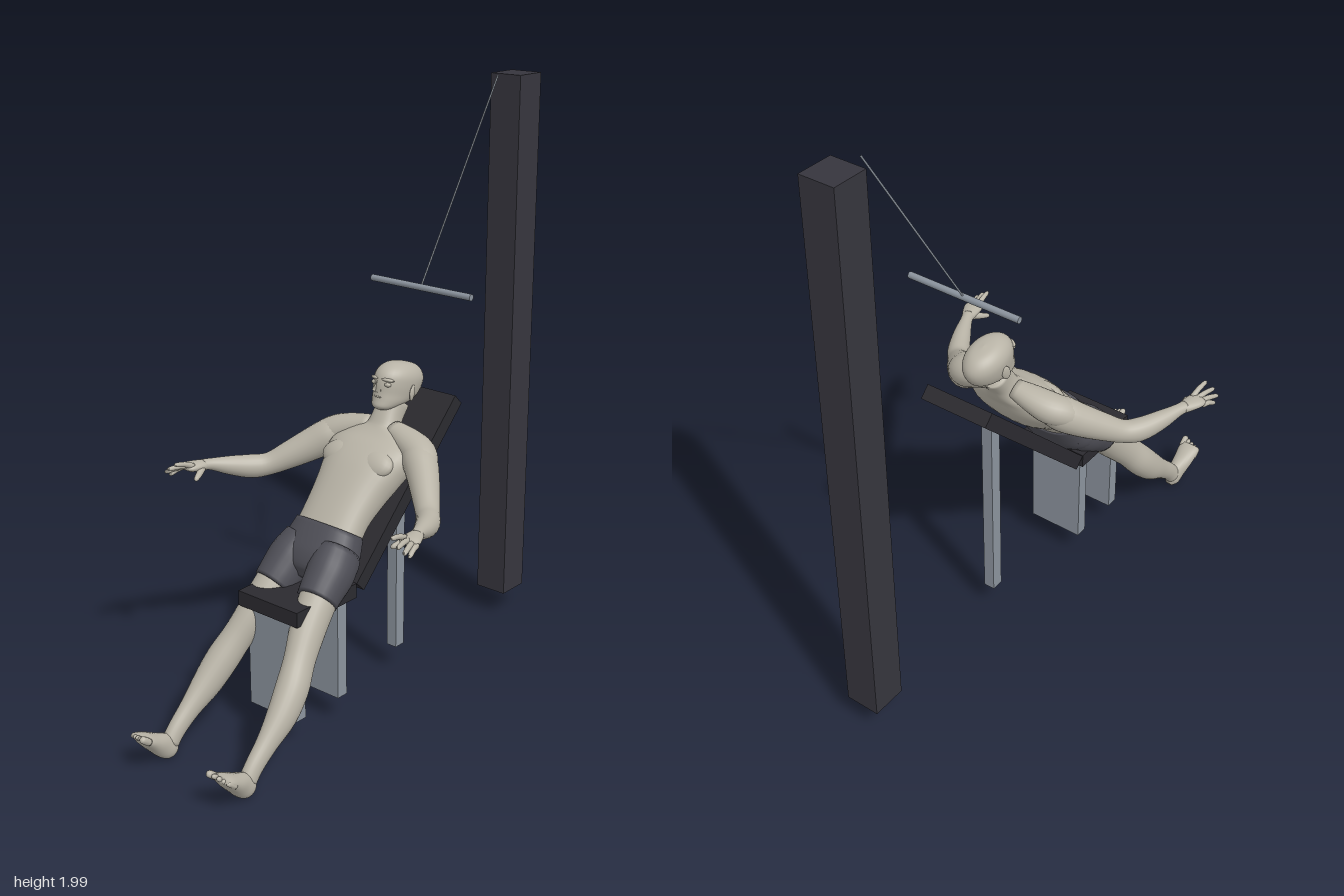
import * as THREE from 'three';

const V = (x, y, z) => new THREE.Vector3(x, y, z);
const X = V(1, 0, 0), Y = V(0, 1, 0);

// Smooth skin over sections [x, y, z, radius along ref, radius across]
function loft(rows, { ref = X, axis = null, steps = 4, sides = 24, power = 2 } = {}) {
  const path = new THREE.CatmullRomCurve3(rows.map(r => V(r[0], r[1], r[2])), false, 'catmullrom', 0.5);
  const size = new THREE.CatmullRomCurve3(rows.map(r => V(r[3], r[4] ?? r[3], 0)), false, 'catmullrom', 0.5);
  const n = (rows.length - 1) * steps, pos = [], idx = [];
  const bulge = c => Math.sign(c) * Math.abs(c) ** (2 / power);
  for (let i = 0; i <= n; i++) {
    const p = path.getPoint(i / n), r = size.getPoint(i / n);
    const t = axis ? axis.clone() : path.getTangent(i / n);
    const s = ref.clone().addScaledVector(t, -ref.dot(t)).normalize();
    const d = t.clone().cross(s);
    for (let j = 0; j < sides; j++) {
      const a = j / sides * Math.PI * 2;
      const q = p.clone().addScaledVector(s, bulge(Math.cos(a)) * r.x).addScaledVector(d, bulge(Math.sin(a)) * r.y);
      pos.push(q.x, q.y, q.z);
    }
  }
  for (let i = 0; i < n; i++) for (let j = 0; j < sides; j++) {
    const k = (j + 1) % sides, a = i * sides + j, b = i * sides + k;
    idx.push(a, b, a + sides, b, b + sides, a + sides);
  }
  const c0 = pos.length / 3, first = path.getPoint(0), last = path.getPoint(1);
  pos.push(first.x, first.y, first.z, last.x, last.y, last.z);
  for (let j = 0; j < sides; j++) {
    const k = (j + 1) % sides;
    idx.push(c0, k, j, c0 + 1, n * sides + j, n * sides + k);
  }
  const g = new THREE.BufferGeometry();
  g.setAttribute('position', new THREE.Float32BufferAttribute(pos, 3));
  g.setIndex(idx);
  g.computeVertexNormals();
  return g;
}

export function createModel() {
  const model = new THREE.Group();
  model.name = 'recliningFigureAtPulldownMachine';
  const mat = (name, color) => Object.assign(new THREE.MeshStandardMaterial({ color }), { name });
  const skin = mat('skin', 0xb8b3a6), cloth = mat('shorts cloth', 0x4e4e56);
  const post = mat('post black', 0x36353d), pad = mat('pad black', 0x2b2a2f), steel = mat('steel grey', 0x8b939d);

  const add = (name, geo, material, parent = model) => {
    const m = new THREE.Mesh(geo, material);
    m.name = name;
    parent.add(m);
    return m;
  };
  const box = (name, w, h, d, x, y, z, m) => {
    const b = add(name, new THREE.BoxGeometry(w, h, d), m);
    b.position.set(x, y, z);
    return b;
  };
  const blob = (name, p, r, parent, m = skin) => {
    const b = add(name, new THREE.SphereGeometry(1, 20, 14), m, parent);
    b.position.set(...p);
    b.scale.set(...r);
    return b;
  };

  // Machine
  box('mainPost', 0.12, 1.895, 0.12, 0, 1.0525, -0.805, post);
  box('seatPad', 0.25, 0.05, 0.28, 0, 0.475, 0.31, pad);
  box('backPad', 0.25, 0.71, 0.05, 0, 0.732, -0.1, pad).rotation.x = -Math.PI / 4;
  box('frontSeatLeg', 0.2, 0.345, 0.043, 0, 0.2775, 0.41, steel);
  box('rearSeatLeg', 0.2, 0.345, 0.043, 0, 0.2775, 0.212, steel);
  box('backPadLeg', 0.04, 0.7, 0.043, 0, 0.455, -0.182, steel);
  add('cable', new THREE.TubeGeometry(new THREE.LineCurve3(V(0, 1.355, -0.3), V(0, 2, -0.7)), 1, 0.003, 8), steel);
  const bar = add('pullBar', new THREE.CylinderGeometry(0.011, 0.011, 0.41, 16), steel);
  bar.rotation.z = Math.PI / 2;
  bar.position.set(0, 1.355, -0.3);

  // Torso and neck
  add('torso', loft([
    [0, 0.63, 0.17, 0.122, 0.072], [0, 0.69, 0.12, 0.12, 0.072], [0, 0.75, 0.055, 0.13, 0.082],
    [0, 0.80, 0.0, 0.148, 0.085], [0, 0.85, -0.055, 0.165, 0.074], [0, 0.89, -0.09, 0.125, 0.055],
    [0, 0.915, -0.11, 0.066, 0.05], [0, 0.95, -0.13, 0.05, 0.047], [0, 1.0, -0.165, 0.049, 0.05],
  ], { sides: 32, power: 2.3 }), skin);

  // Shorts body
  add('shorts', loft([
    [0, 0.655, 0.155, 0.124, 0.078], [0, 0.61, 0.185, 0.138, 0.084], [0, 0.565, 0.215, 0.148, 0.086],
    [0, 0.525, 0.245, 0.12, 0.07], [0, 0.505, 0.262, 0.07, 0.035],
  ], { sides: 32, power: 2.3 }), cloth);

  // Head, tilted back
  const head = new THREE.Group();
  head.name = 'head';
  head.position.set(0, 1.045, -0.178);
  head.rotation.x = -0.25;
  model.add(head);
  add('skull', loft([
    [0, -0.076, 0.062, 0.016, 0.018], [0, -0.066, 0.054, 0.034, 0.04], [0, -0.045, 0.025, 0.05, 0.069],
    [0, -0.02, 0.004, 0.058, 0.09], [0, 0.01, -0.003, 0.064, 0.1], [0, 0.04, -0.006, 0.065, 0.099],
    [0, 0.064, -0.008, 0.055, 0.083], [0, 0.081, -0.01, 0.034, 0.052], [0, 0.087, -0.01, 0.002, 0.003],
  ], { axis: Y, sides: 32 }), skin, head);
  add('nose', loft([
    [0, 0.022, 0.09, 0.008, 0.008], [0, 0.002, 0.1, 0.01, 0.011], [0, -0.013, 0.102, 0.015, 0.013], [0, -0.02, 0.092, 0.008, 0.006],
  ], { axis: Y, sides: 14 }), skin, head);
  blob('upperLip', [0, -0.034, 0.085], [0.019, 0.005, 0.01], head);
  blob('lowerLip', [0, -0.043, 0.082], [0.016, 0.005, 0.01], head);
  for (const s of [1, -1]) {
    blob('brow', [s * 0.026, 0.025, 0.085], [0.022, 0.006, 0.009], head).rotation.y = s * 0.4;
    blob('eyelid', [s * 0.026, 0.01, 0.083], [0.013, 0.008, 0.01], head);
    blob('ear', [s * 0.064, -0.008, -0.005], [0.007, 0.027, 0.016], head).rotation.y = s * 0.3;
  }

  // Limbs, mirrored
  for (const s of [1, -1]) {
    const side = s > 0 ? 'left' : 'right';
    const limb = (name, rows, m = skin, opts = {}) =>
      add(side + name, loft(rows.map(([x, ...r]) => [s * x, ...r]), opts), m);

    const pec = blob(side + 'Pectoral', [s * 0.07, 0.848, 0.018], [0.072, 0.05, 0.032]);
    pec.rotation.x = -Math.PI / 4;
    limb('Shoulder', [
      [0.045, 0.925, -0.11, 0.03, 0.035], [0.11, 0.905, -0.1, 0.042, 0.05], [0.165, 0.885, -0.085, 0.05, 0.056],
      [0.205, 0.868, -0.06, 0.046, 0.05], [0.235, 0.845, -0.03, 0.03, 0.035],
    ], skin, { ref: Y });
    limb('Arm', [
      [0.145, 0.88, -0.085, 0.045, 0.045], [0.19, 0.862, -0.063, 0.058, 0.056], [0.235, 0.832, -0.025, 0.055, 0.052],
      [0.285, 0.798, 0.025, 0.047, 0.045], [0.335, 0.767, 0.078, 0.038, 0.038], [0.372, 0.762, 0.125, 0.04, 0.038],
      [0.408, 0.775, 0.19, 0.032, 0.031], [0.436, 0.79, 0.25, 0.02, 0.021], [0.448, 0.793, 0.28, 0.018, 0.022],
    ], skin, { ref: Y });
    limb('Palm', [
      [0.443, 0.792, 0.265, 0.017, 0.02], [0.452, 0.794, 0.293, 0.017, 0.028],
      [0.462, 0.796, 0.325, 0.015, 0.033], [0.467, 0.797, 0.342, 0.008, 0.026],
    ], skin, { ref: Y });
    const tips = [[0.5, 0.775, 0.372], [0.497, 0.79, 0.392], [0.478, 0.805, 0.398], [0.452, 0.824, 0.392]];
    tips.forEach(([x, y, z], i) => {
      const bx = 0.487 - i * 0.014, by = 0.79 + i * 0.004;
      limb('Finger' + (i + 1), [
        [bx, by, 0.325, 0.01], [(bx + x) / 2, (by + y) / 2 + 0.004, (0.325 + z) / 2, 0.009],
        [x, y, z, 0.007], [x, y, z + 0.006, 0.002],
      ], skin, { ref: Y, sides: 10 });
    });
    limb('Thumb', [
      [0.442, 0.788, 0.287, 0.014], [0.424, 0.778, 0.318, 0.011], [0.413, 0.77, 0.343, 0.008], [0.411, 0.769, 0.35, 0.002],
    ], skin, { ref: Y, sides: 10 });

    // Legs
    limb('ShortsLeg', [
      [0.072, 0.6, 0.195, 0.07, 0.078], [0.084, 0.555, 0.245, 0.076, 0.082],
      [0.09, 0.515, 0.293, 0.071, 0.074], [0.094, 0.487, 0.325, 0.066, 0.068],
    ], cloth);
    limb('Leg', [
      [0.09, 0.53, 0.28, 0.062, 0.062], [0.098, 0.47, 0.337, 0.06, 0.063], [0.113, 0.405, 0.395, 0.054, 0.06],
      [0.132, 0.34, 0.45, 0.048, 0.054], [0.15, 0.275, 0.503, 0.051, 0.056], [0.161, 0.21, 0.563, 0.045, 0.052],
      [0.166, 0.15, 0.635, 0.032, 0.038], [0.168, 0.1, 0.693, 0.027, 0.033], [0.169, 0.06, 0.727, 0.026, 0.032],
    ], skin);
    limb('Foot', [
      [0.168, 0.028, 0.705, 0.012, 0.012], [0.169, 0.042, 0.722, 0.027, 0.034], [0.171, 0.066, 0.752, 0.03, 0.038],
      [0.174, 0.093, 0.79, 0.036, 0.029], [0.175, 0.118, 0.823, 0.04, 0.021], [0.175, 0.133, 0.842, 0.034, 0.011],
    ], skin);
    for (let i = 0; i < 5; i++) {
      const x = 0.144 + i * 0.0158, r = i ? 0.0085 : 0.012, back = i * 0.0045;
      limb('Toe' + (i + 1), [
        [x, 0.122 - back, 0.83 - back, r], [x, 0.138 - back, 0.85 - back, r],
        [x, 0.144 - back, 0.859 - back, r * 0.8], [x, 0.147 - back, 0.863 - back, r * 0.2],
      ], skin, { sides: 10 });
    }
  }
  return model;
}
